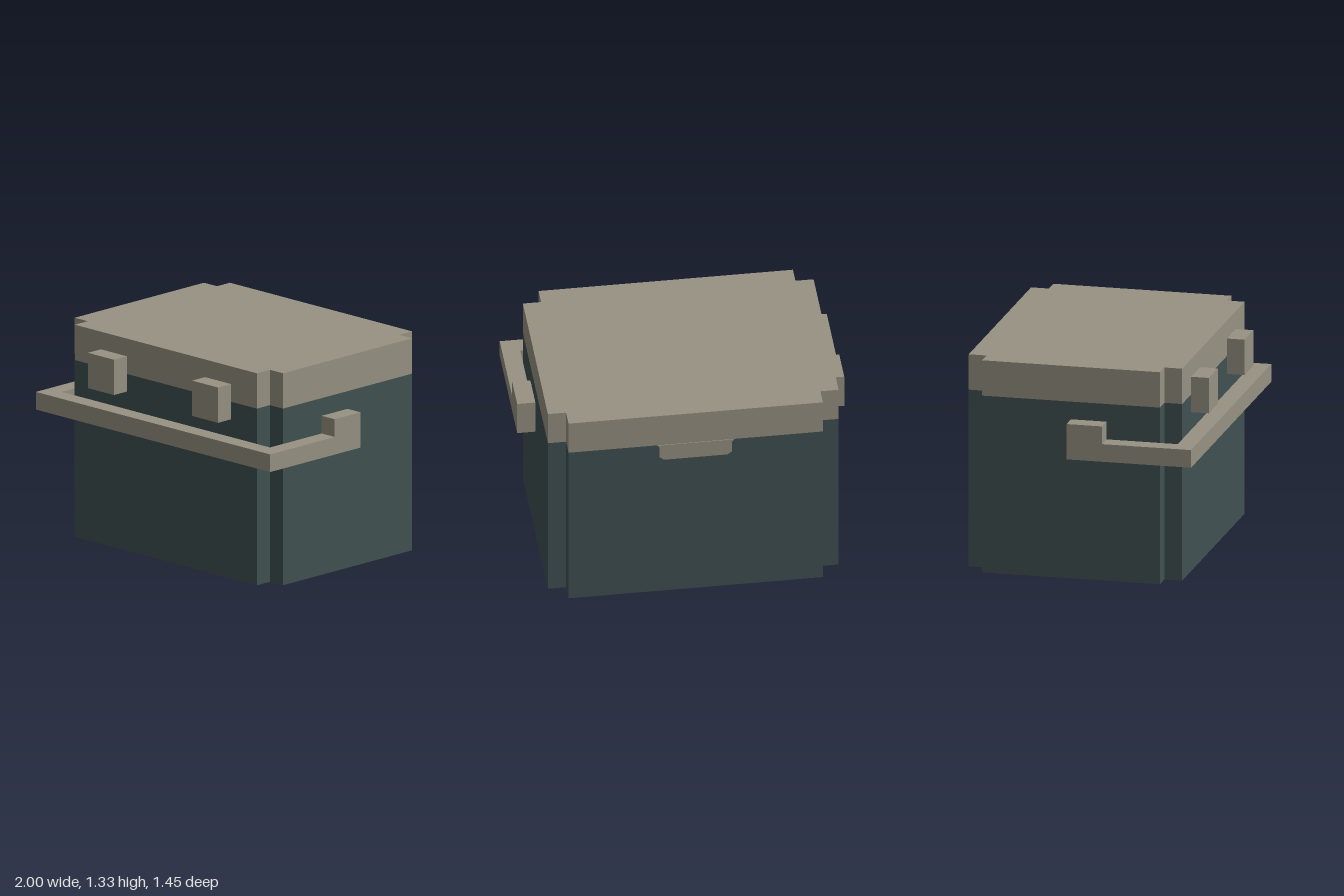
import * as THREE from 'three';

const U = 1 / 9; // grid unit that every part snaps to

export function createModel() {
  const model = new THREE.Group();
  model.name = 'coolBox';

  const shell = new THREE.MeshStandardMaterial({ name: 'dark teal', color: 0x405152 });
  const trim = new THREE.MeshStandardMaterial({ name: 'warm grey', color: 0x979282 });

  const add = (name, geometry, material, parent = model) => {
    const mesh = new THREE.Mesh(geometry, material);
    mesh.name = name;
    parent.add(mesh);
    return mesh;
  };
  const outline = (points) => new THREE.Shape(points.map(([x, y]) => new THREE.Vector2(x * U, y * U)));

  // Upright prism from a floor plan given as [x, -z] in grid units
  const prism = (plan, y0, y1) =>
    new THREE.ExtrudeGeometry(outline(plan), { depth: (y1 - y0) * U, bevelEnabled: false })
      .rotateX(-Math.PI / 2)
      .translate(0, y0 * U, 0);

  // Box between two corners in grid units
  const block = (x0, x1, y0, y1, z0, z1) =>
    new THREE.BoxGeometry((x1 - x0) * U, (y1 - y0) * U, (z1 - z0) * U)
      .translate((x0 + x1) * U / 2, (y0 + y1) * U / 2, (z0 + z1) * U / 2);

  // Chest and lid share one plan with a square notch in each corner
  const plan = [
    [-7, -5.5], [7, -5.5], [7, -4.5], [8, -4.5], [8, 5.5], [7, 5.5],
    [7, 6.5], [-7, 6.5], [-7, 5.5], [-8, 5.5], [-8, -4.5], [-7, -4.5],
  ];
  add('chest', prism(plan, 0, 10), shell);
  add('lid', prism(plan, 10, 12), trim);

  // Thin hinge flap below the lid on the back, with clipped corners
  const flap = outline([
    [-2.1, 10], [-2, 9.85], [-2, 9.2], [-1.75, 9],
    [1.75, 9], [2, 9.2], [2, 9.85], [2.1, 10],
  ]);
  add('hingeFlap', new THREE.ExtrudeGeometry(flap, { depth: 0.004, bevelEnabled: false })
    .translate(0, 0, -6.5 * U - 0.004), trim);

  // Carry handle: a U-shaped bar around the front with a pivot post at each end
  const handle = new THREE.Group();
  handle.name = 'handle';
  model.add(handle);
  add('handleBar', prism([
    [-9, -6.5], [9, -6.5], [9, 0.5], [8, 0.5],
    [8, -5.5], [-8, -5.5], [-8, 0.5], [-9, 0.5],
  ], 7, 8), trim, handle);

  for (const [side, label] of [[1, 'left'], [-1, 'right']]) {
    add(label + 'HandlePost', block(8, 9, 8, 9, -0.5, 1.5).translate(side > 0 ? 0 : -17 * U, 0, 0), trim, handle);
    add(label + 'Latch', block(3, 5, 9, 11, 5.5, 6.5).translate(side > 0 ? 0 : -8 * U, 0, 0), trim);
  }

  return model;
}
